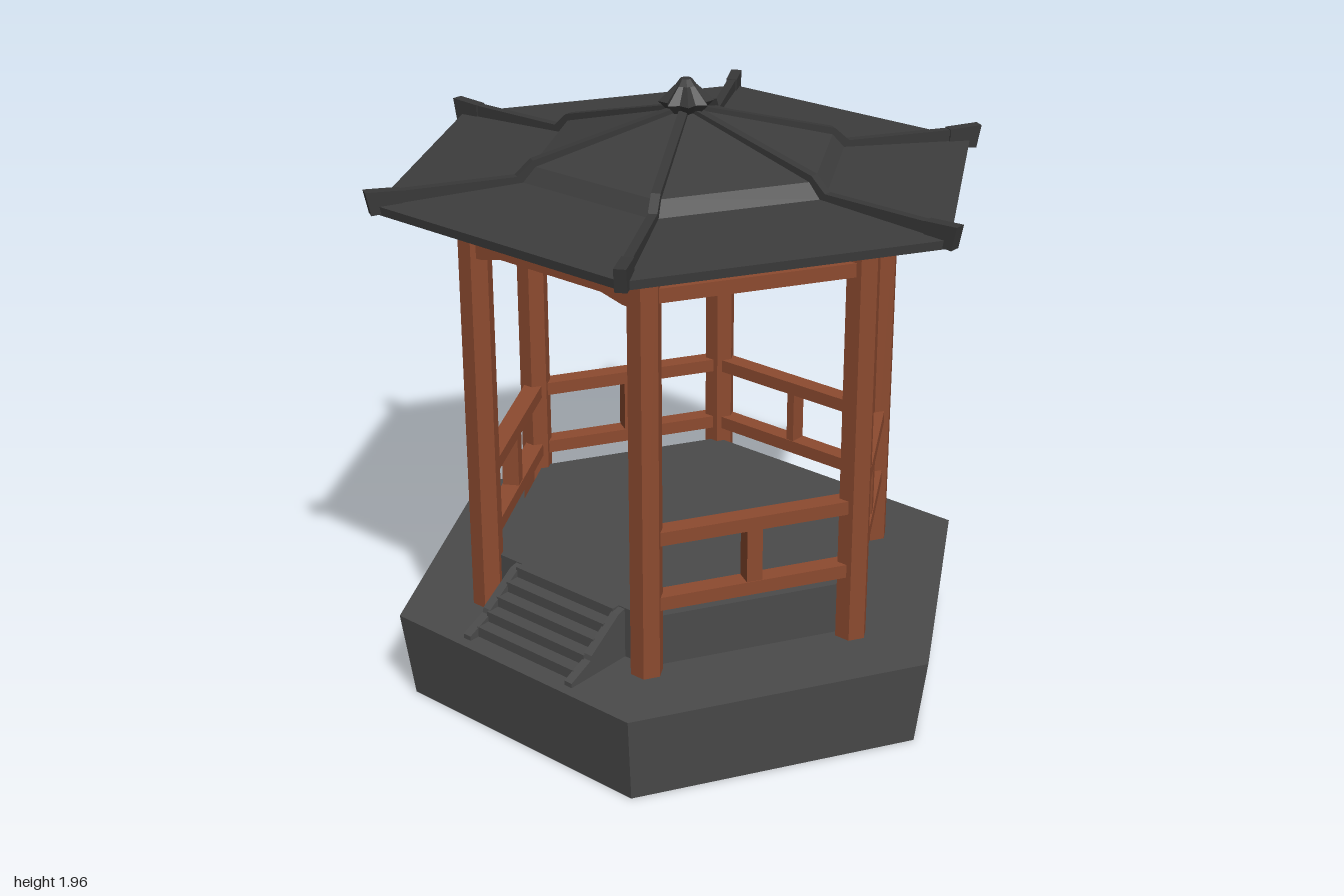
import * as THREE from 'three';

const material = (color, extra = {}) => new THREE.MeshStandardMaterial({ color, flatShading: true, ...extra });
const WOOD = material(0x8c4a2f);
const STONE = material(0x4b4b4b);
const TILE = material(0x3d3d3d, { side: THREE.DoubleSide });
const RIDGE = material(0x383838);

const POST_R = 0.675;                          // distance of the posts from the centre
const APOTHEM = POST_R * Math.cos(Math.PI / 6); // distance of the railings

function add(parent, name, geometry, mat, x = 0, y = 0, z = 0) {
  const mesh = new THREE.Mesh(geometry, mat);
  mesh.name = name;
  mesh.position.set(x, y, z);
  parent.add(mesh);
  return mesh;
}

// Hexagonal prism with corners on the x axis, standing between y0 and y1
function hexPrism(rTop, rBottom, y0, y1) {
  return new THREE.CylinderGeometry(rTop, rBottom, y1 - y0, 6, 1, false, Math.PI / 6)
    .translate(0, (y0 + y1) / 2, 0);
}

// Outline extruded and centred on its thickness
function slab(points, thickness) {
  const shape = new THREE.Shape(points.map(([x, y]) => new THREE.Vector2(x, y)));
  return new THREE.ExtrudeGeometry(shape, { depth: thickness, bevelEnabled: false })
    .translate(0, 0, -thickness / 2);
}

// One side of the hexagon, built facing +z
function buildSide(i) {
  const side = new THREE.Group();
  side.name = i === 0 ? 'entranceSide' : 'railingSide';
  const rail = () => new THREE.BoxGeometry(0.63, 0.044, 0.06);
  if (i === 0) {
    // Entrance lintel, flared where it meets the posts
    const half = [[-0.325, 1.48], [-0.28, 1.483], [-0.2, 1.502]];
    const lower = [...half, ...half.map(([x, y]) => [-x, y]).reverse()];
    const upper = lower.map(([x, y]) => [x, 3.04 - y]).reverse();
    add(side, 'flaredLintel', slab([...lower, ...upper], 0.06), WOOD, 0, 0, APOTHEM);
  } else {
    add(side, 'topBeam', rail(), WOOD, 0, 1.52, APOTHEM);
    add(side, 'handRail', rail(), WOOD, 0, 0.748, APOTHEM);
    add(side, 'lowerRail', rail(), WOOD, 0, 0.53, APOTHEM);
    const width = i === 3 ? 0.028 : 0.05;
    add(side, 'baluster', new THREE.BoxGeometry(width, 0.19, 0.055), WOOD, 0, 0.64, APOTHEM);
  }
  side.rotation.y = i * Math.PI / 3;
  return side;
}

function buildStairs() {
  const stairs = new THREE.Group();
  stairs.name = 'stairs';
  for (let k = 0; k < 5; k++) {
    const front = 0.77 - 0.045 * k, top = 0.29 + 0.034 * (k + 1), back = 0.55;
    add(stairs, 'step', new THREE.BoxGeometry(0.41, 0.034, front - back), STONE,
      0, top - 0.017, (front + back) / 2);
  }
  const outline = [[0.55, 0.285], [0.805, 0.285], [0.805, 0.305], [0.72, 0.345], [0.715, 0.36],
    [0.59, 0.45], [0.55, 0.46]];
  for (const s of [-1, 1]) {
    add(stairs, 'stringer', slab(outline, 0.03).rotateY(-Math.PI / 2), STONE, s * 0.215, 0, 0);
  }
  return stairs;
}

function buildRoof() {
  const roof = new THREE.Group();
  roof.name = 'roof';

  // Two-tiered hexagonal shell with a flat underside
  const profile = [[0, 1.64], [0.965, 1.64], [0.97, 1.668], [0.53, 1.692], [0.49, 1.737], [0.04, 1.862], [0, 1.865]]
    .map(([r, y]) => new THREE.Vector2(r, y));
  add(roof, 'roofShell', new THREE.LatheGeometry(profile, 6, Math.PI / 6), TILE);

  // Ridges along the six hips, each with a thicker end
  const ridge = [[0.03, 1.84], [0.47, 1.70], [0.53, 1.66], [0.95, 1.65], [0.95, 1.708], [0.54, 1.712],
    [0.49, 1.757], [0.03, 1.876]];
  const end = [[0.89, 1.65], [0.985, 1.642], [1, 1.715], [0.89, 1.711]];
  for (let i = 0; i < 6; i++) {
    const hip = new THREE.Group();
    hip.name = 'hipRidge';
    add(hip, 'ridgeBar', slab(ridge, 0.028), RIDGE);
    add(hip, 'ridgeEnd', slab(end, 0.036), RIDGE);
    hip.rotation.y = i * Math.PI / 3;
    roof.add(hip);
  }

  // Fluted finial: every second edge of each tier is pulled in
  const fluted = (rTop, rBottom, height) => {
    const geo = new THREE.CylinderGeometry(rTop, rBottom, height, 16);
    const p = geo.attributes.position;
    for (let i = 0; i < p.count; i++) {
      const step = Math.round(Math.atan2(p.getX(i), p.getZ(i)) / (Math.PI / 8));
      const f = step % 2 ? 0.75 : 1;
      p.setXYZ(i, p.getX(i) * f, p.getY(i), p.getZ(i) * f);
    }
    return geo;
  };
  add(roof, 'finialNeck', fluted(0.085, 0.055, 0.03), RIDGE, 0, 1.875, 0);
  add(roof, 'finialCap', fluted(0.035, 0.085, 0.05), RIDGE, 0, 1.915, 0);
  add(roof, 'finialTip', new THREE.CylinderGeometry(0.018, 0.033, 0.02, 8), RIDGE, 0, 1.95, 0);
  return roof;
}

export function createModel() {
  const pavilion = new THREE.Group();
  pavilion.name = 'pavilion';

  // Stone base and raised floor
  add(pavilion, 'base', hexPrism(0.97, 0.93, 0, 0.29), STONE);
  add(pavilion, 'floor', hexPrism(0.65, 0.65, 0.28, 0.46), STONE);
  pavilion.add(buildStairs());

  // Posts at the corners, railings and beams between them
  for (let i = 0; i < 6; i++) {
    const a = i * Math.PI / 3;
    add(pavilion, 'post', hexPrism(0.052, 0.052, 0.285, 1.65), WOOD,
      POST_R * Math.cos(a), 0, POST_R * Math.sin(a));
    pavilion.add(buildSide(i));
  }

  pavilion.add(buildRoof());
  return pavilion;
}
